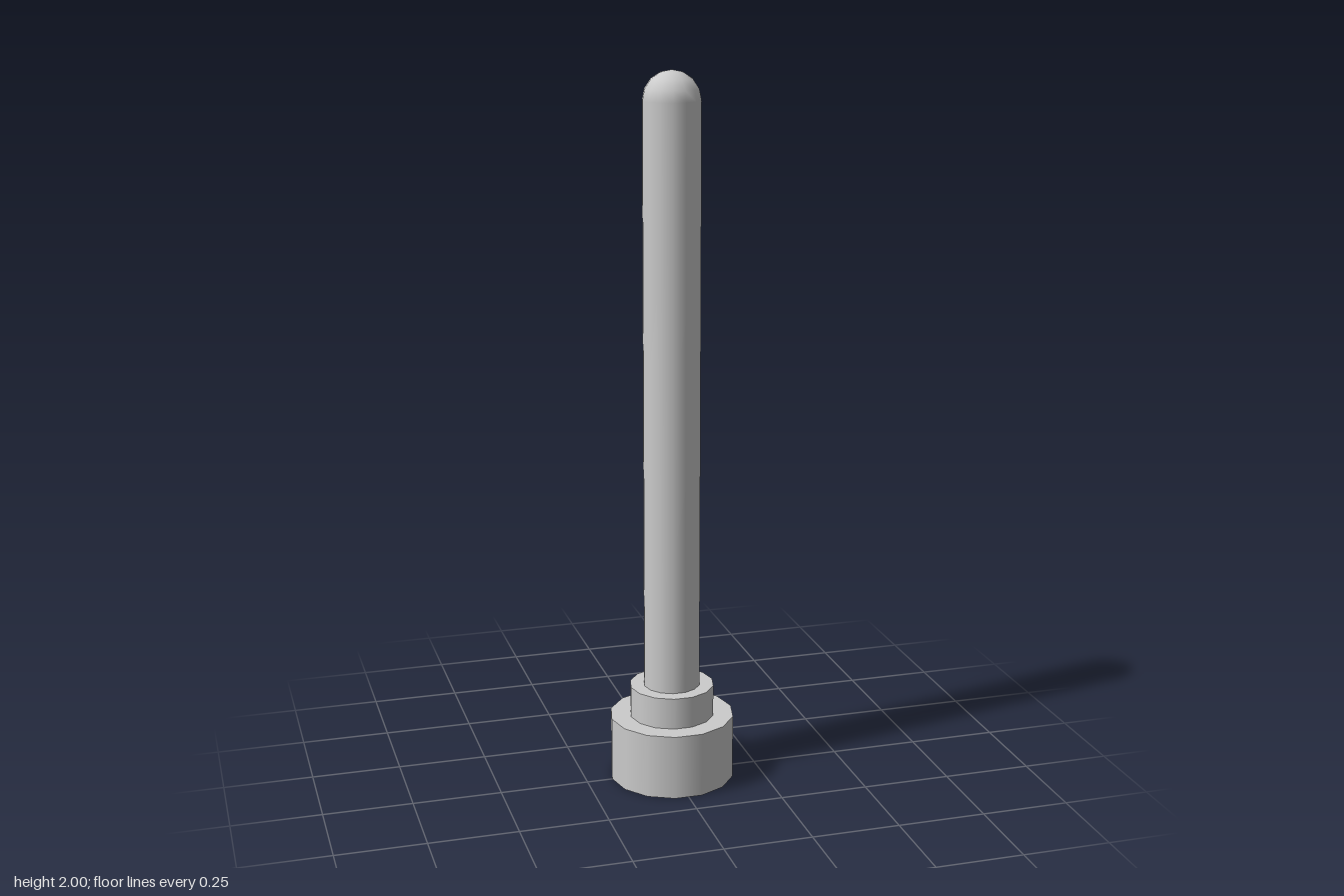
import * as THREE from 'three';

const SIDES = 14;

export function createModel() {
  const group = new THREE.Group();
  const material = new THREE.MeshStandardMaterial({ color: 0xcccccc });

  const add = (name, geometry, y) => {
    const mesh = new THREE.Mesh(geometry, material);
    mesh.name = name;
    mesh.position.y = y;
    group.add(mesh);
  };

  // Upright cylinder between two heights, with corners on the x axis
  const addCylinder = (name, radius, bottom, top, open = false) => {
    const geometry = new THREE.CylinderGeometry(radius, radius, top - bottom, SIDES, 1, open);
    geometry.rotateY(Math.PI / 2);
    add(name, geometry, (bottom + top) / 2);
  };

  // Stepped foot
  addCylinder('base', 0.177, 0, 0.185);
  addCylinder('collar', 0.12, 0.185, 0.275);

  // Long shaft with a rounded tip
  addCylinder('shaft', 0.08, 0.275, 1.92, true);
  add('tip', new THREE.SphereGeometry(0.08, SIDES, 4, 0, Math.PI * 2, 0, Math.PI / 2), 1.92);

  return group;
}
